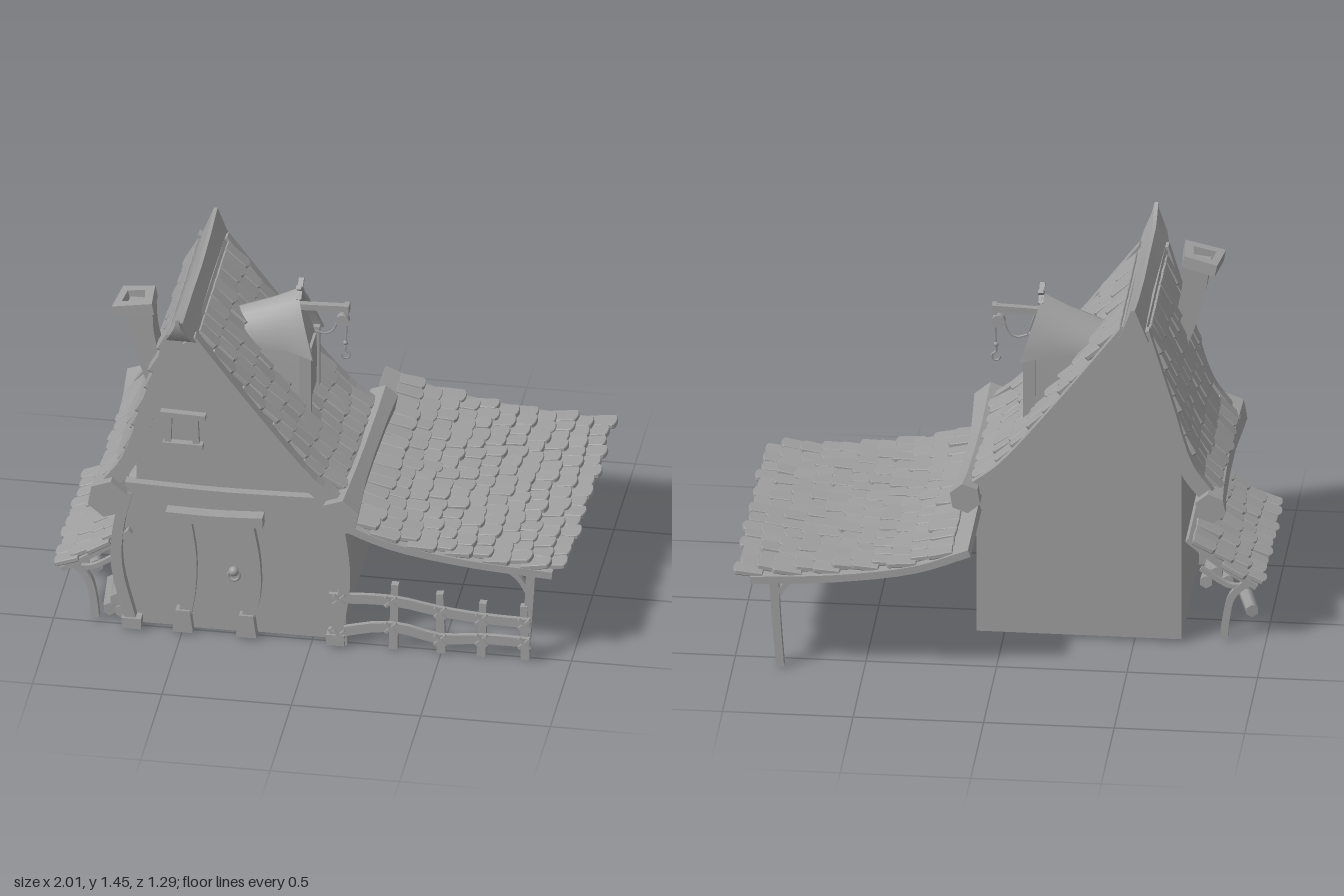
import * as THREE from 'three';
import { mergeGeometries, toCreasedNormals } from 'three/addons/utils/BufferGeometryUtils.js';

const V = (x, y, z) => new THREE.Vector3(x, y, z);
const mat = new THREE.MeshStandardMaterial({ color: 0x9f9f9f });

let seed = 7;
const rnd = () => ((seed = (seed * 16807) % 2147483647) / 2147483647) - 0.5;

const curveOf = pts => new THREE.CatmullRomCurve3(pts.map(p => V(p[0], p[1], 0)));

// Bent plank: a curve in the xy plane with a width that tapers from w0 to w1, spanning z0..z1
function plank(pts, w0, w1, z0, z1) {
  const n = pts.length > 2 ? 12 : 1, c = curveOf(pts), a = [], b = [];
  for (let i = 0; i <= n; i++) {
    const p = c.getPoint(i / n), t = c.getTangent(i / n), h = (w0 + (w1 - w0) * i / n) / 2;
    a.push(new THREE.Vector2(p.x - t.y * h, p.y + t.x * h));
    b.unshift(new THREE.Vector2(p.x + t.y * h, p.y - t.x * h));
  }
  return new THREE.ExtrudeGeometry(new THREE.Shape([...a, ...b]), { depth: z1 - z0, bevelEnabled: false }).translate(0, 0, z0);
}

// Skin over matching cross-sections, closed at both ends, turned outwards
function loft(sections) {
  const tri = [], n = sections[0].length, s = sections[0], e = sections[sections.length - 1];
  const quad = (a, b, c, d) => tri.push([a, b, c], [a, c, d]);
  for (let k = 0; k < sections.length - 1; k++)
    for (let i = 0; i < n; i++) {
      const j = (i + 1) % n, p = sections[k], q = sections[k + 1];
      quad(p[i], p[j], q[j], q[i]);
    }
  for (let i = 0, l = n - 1; i + 1 < l; i++, l--) {
    if (i + 2 === l) tri.push([s[l], s[i + 1], s[i]], [e[i], e[i + 1], e[l]]);
    else {
      quad(s[l], s[l - 1], s[i + 1], s[i]);
      quad(e[i], e[i + 1], e[l - 1], e[l]);
    }
  }
  const volume = tri.reduce((v, [a, b, c]) => v + a.dot(b.clone().cross(c)), 0);
  if (volume < 0) tri.forEach(t => t.reverse());
  return toCreasedNormals(new THREE.BufferGeometry().setFromPoints(tri.flat()), 0.55);
}

// Shingle with a softly rounded end: x across, y down the slope, z away from the roof
function shingle(w, l) {
  const s = new THREE.Shape();
  s.moveTo(-w * 0.46, 0);
  s.lineTo(-w / 2, l * 0.88);
  s.bezierCurveTo(-w * 0.46, l * 1.02, w * 0.46, l * 1.02, w / 2, l * 0.88);
  s.lineTo(w * 0.46, 0);
  return new THREE.ExtrudeGeometry(s, { depth: 0.014, curveSegments: 6, bevelEnabled: true, bevelSize: 0.002, bevelThickness: 0.003, bevelSegments: 1 });
}

// Staggered rows of shingles laid down a roof curve
function shingles(pts, rows, cols, z0, z1, s0, s1, lift) {
  const c = curveOf(pts), L = c.getLength(), out = [], step = (z1 - z0) / cols;
  for (let r = 0; r < rows; r++)
    for (let k = 0; k < cols; k++) {
      const u = (s0 + (s1 - s0) * r / (rows - 1)) / L;
      const p = c.getPointAt(u), d = c.getTangentAt(u);
      const n = V(-d.y, d.x, 0).multiplyScalar(Math.sign(d.x));
      const x = d.clone().cross(n);
      const g = shingle(step * (0.95 + rnd() * 0.16), 0.105 + rnd() * 0.024);
      g.rotateY(rnd() * 0.1).rotateZ(rnd() * 0.14).rotateX(0.18 + rnd() * 0.1);
      g.applyMatrix4(new THREE.Matrix4().makeBasis(x, d, n));
      p.addScaledVector(n, lift);
      out.push(g.translate(p.x, p.y, z0 + step * (k + 0.5 + (r % 2 ? 0.2 : -0.2)) + rnd() * 0.008));
    }
  return mergeGeometries(out);
}

export function createModel() {
  const root = new THREE.Group();
  const add = (name, ...geos) => geos.forEach(g => {
    const m = new THREE.Mesh(g, mat);
    m.name = name;
    root.add(m);
  });
  const box = (x0, x1, y0, y1, z0, z1) =>
    new THREE.BoxGeometry(x1 - x0, y1 - y0, z1 - z0).translate((x0 + x1) / 2, (y0 + y1) / 2, (z0 + z1) / 2);
  const shapeOf = pts => new THREE.Shape(pts.map(p => new THREE.Vector2(...p)));

  // House body with gable
  add('walls', new THREE.ExtrudeGeometry(
    shapeOf([[-0.68, 0.02], [0.105, 0.02], [0.105, 0.6], [0.06, 0.63], [-0.46, 1.3], [-0.54, 1.3], [-0.68, 0.72]]),
    { depth: 0.72, bevelEnabled: false }).translate(0, 0, -0.22));
  // Front wall bulges out to meet the bowed corner posts
  add('frontWall', new THREE.ExtrudeGeometry(
    shapeOf([[-0.69, 0.02], [0.09, 0.02], [0.13, 0.28], [0.12, 0.45], [0.09, 0.6], [-0.7, 0.6], [-0.745, 0.45], [-0.75, 0.28]]),
    { depth: 0.02, bevelEnabled: false }).translate(0, 0, 0.482));

  // Main roof
  const roofR = [[-0.47, 1.31], [-0.2, 0.955], [0.0, 0.715], [0.12, 0.62]];
  const roofL = [[-0.53, 1.32], [-0.62, 1.02], [-0.7, 0.76], [-0.79, 0.63]];
  for (const r of [roofR, roofL]) {
    add('roofDeck', plank(r, 0.035, 0.035, -0.24, 0.54));
    add('vergeBoard', plank(r, 0.06, 0.06, 0.505, 0.55), plank(r, 0.06, 0.06, -0.25, -0.21));
  }
  add('roofShingles', shingles(roofR, 9, 10, -0.2, 0.49, 0.02, 0.78, 0.01), shingles(roofL, 8, 10, -0.2, 0.49, 0.02, 0.66, 0.01));

  // Ridge cap with upswept ends: z, bottom y, top y, half width
  add('ridgeCap', loft([[0.642, 1.41, 1.45, 0.014], [0.61, 1.345, 1.418, 0.045], [0.55, 1.305, 1.385, 0.06], [0.3, 1.31, 1.385, 0.05],
    [0.1, 1.31, 1.378, 0.045], [-0.12, 1.305, 1.395, 0.05], [-0.27, 1.285, 1.42, 0.06]].map(([z, b, t, w]) =>
    [V(-0.5 - w, b, z), V(-0.5 - w * 0.55, (b + t) / 2, z), V(-0.507, t, z), V(-0.493, t, z), V(-0.5 + w * 0.55, (b + t) / 2, z), V(-0.5 + w, b, z)])));

  // Eave logs, thick at the ends
  for (const [x, dx] of [[0.1, 1], [-0.76, -1]])
    add('eaveLog', loft([[0.595, 0.08, 0.605], [0.5, 0.072, 0.602], [0.3, 0.055, 0.6], [0.1, 0.05, 0.6], [-0.15, 0.052, 0.605], [-0.305, 0.062, 0.615]].map(([z, r, y]) =>
      Array.from({ length: 6 }, (_, i) => V(x + dx * (0.02 + (0.5 - z) * 0.025) + r * Math.cos(i * Math.PI / 3 + 0.35), y + r * Math.sin(i * Math.PI / 3 + 0.35), z)))));

  // Front timber frame
  add('cornerPost',
    plank([[0.09, 0.61], [0.12, 0.45], [0.13, 0.28], [0.095, 0.04]], 0.04, 0.045, 0.47, 0.54),
    plank([[-0.71, 0.61], [-0.745, 0.45], [-0.75, 0.28], [-0.695, 0.04]], 0.04, 0.045, 0.47, 0.54));
  add('postFoot', box(0.06, 0.13, 0.015, 0.06, 0.46, 0.55), box(-0.73, -0.655, 0.015, 0.06, 0.46, 0.55));
  add('crossBeam', plank([[-0.72, 0.63], [-0.35, 0.622], [0.05, 0.63]], 0.045, 0.045, 0.49, 0.535));

  // Door
  add('doorJamb',
    plank([[-0.485, 0.51], [-0.465, 0.35], [-0.47, 0.2], [-0.49, 0.08]], 0.04, 0.05, 0.49, 0.535),
    plank([[-0.245, 0.51], [-0.22, 0.35], [-0.22, 0.2], [-0.25, 0.08]], 0.04, 0.05, 0.49, 0.535));
  for (const x of [-0.495, -0.25])
    add('doorFoot', plank([[x, 0.11], [x, 0.015]], 0.055, 0.08, 0.485, 0.545));
  add('doorLintel', plank([[-0.56, 0.527], [-0.37, 0.523], [-0.185, 0.53]], 0.04, 0.045, 0.48, 0.555));
  add('door', box(-0.47, -0.24, 0.02, 0.51, 0.495, 0.508));
  add('doorKnob', new THREE.SphereGeometry(0.02, 10, 8).translate(-0.3, 0.295, 0.53),
    new THREE.TorusGeometry(0.022, 0.006, 6, 14).translate(-0.3, 0.275, 0.525));

  // Gable window frame
  add('windowFrame', plank([[-0.585, 0.962], [-0.41, 0.957]], 0.022, 0.022, 0.495, 0.53), plank([[-0.575, 0.828], [-0.42, 0.828]], 0.022, 0.022, 0.495, 0.53),
    plank([[-0.553, 0.955], [-0.557, 0.83]], 0.025, 0.025, 0.495, 0.522), plank([[-0.453, 0.955], [-0.447, 0.83]], 0.025, 0.025, 0.495, 0.522));

  // Crooked chimney with a hollow cap
  add('chimneyShaft', plank([[-0.685, 1.35], [-0.675, 1.24], [-0.64, 1.1], [-0.6, 0.98]], 0.1, 0.075, 0.305, 0.4));
  const cap = shapeOf([[-0.08, -0.075], [0.08, -0.085], [0.07, 0.06], [-0.06, 0.08]]);
  cap.holes.push(shapeOf([[-0.045, -0.04], [-0.035, 0.04], [0.035, 0.03], [0.045, -0.045]]));
  add('chimneyCap', new THREE.ExtrudeGeometry(cap, { depth: 0.048, bevelEnabled: false }).rotateX(-Math.PI / 2).rotateZ(0.2).translate(-0.7, 1.33, 0.355));

  // Dormer: round-shouldered arch sections running from one foot over the peak to the other
  const us = Array.from({ length: 17 }, (_, i) => Math.sin((i / 8 - 1) * Math.PI / 2));
  const arch = (w, y0, y1, x0, x1, flare = 0) => us.map(u => {
    const a = Math.abs(u), h = Math.pow(Math.max(0, 1 - Math.pow(a, 1.6)), 0.55);
    return V(x0 + (x1 - x0) * h, y0 + (y1 - y0) * h, 0.09 + Math.sign(u) * (w * a + flare * Math.pow(1 - h, 3)));
  });
  const shell = (w, y0, y1, x0, x1, flare) => [...arch(w, y0, y1, x0, x1, flare), ...arch(w - 0.016, y0, y1 - 0.018, x0, x1, flare).reverse()];
  add('dormerRoof', loft([shell(0.098, 1.09, 1.195, -0.3, -0.38, 0), shell(0.104, 1.09, 1.26, -0.15, -0.22, 0.005), shell(0.11, 1.072, 1.31, -0.045, -0.12, 0.025)]));
  const wall = (x0, x1, peak) => [V(x0, 0.79, -0.015), ...arch(0.095, 1.08, peak, x0, x1), V(x0, 0.79, 0.2)];
  add('dormerWall', loft([wall(-0.38, -0.38, 1.16), wall(-0.075, -0.145, 1.27)]));
  add('dormerDoor', new THREE.ExtrudeGeometry(
    shapeOf([[-0.07, 0.86], [0.07, 0.86], [0.085, 0.97], [0.07, 1.075], [-0.07, 1.075], [-0.085, 0.97]]),
    { depth: 0.016, bevelEnabled: false }).rotateY(Math.PI / 2).translate(-0.08, 0, 0.09));
  for (const s of [-1, 1]) {
    add('dormerPost', box(-0.1, -0.055, 0.79, 1.09, 0.09 + s * 0.1 - 0.012, 0.09 + s * 0.1 + 0.012));
    add('dormerFinial', new THREE.BoxGeometry(0.02, 0.09, 0.016).rotateX(s * 0.9).translate(-0.115, 1.305, 0.09));
  }
  add('dormerSill', box(-0.1, -0.045, 0.79, 0.815, -0.02, 0.2));

  // Hoist on the dormer
  add('hoistBeam', plank([[-0.18, 1.23], [0.075, 1.24]], 0.025, 0.025, 0.077, 0.103), box(0.055, 0.075, 1.22, 1.255, 0.07, 0.11));
  add('hoistPulley', new THREE.CylinderGeometry(0.026, 0.026, 0.028, 12).rotateX(Math.PI / 2).translate(0.05, 1.185, 0.09));
  const rope = (...p) => new THREE.TubeGeometry(new THREE.CatmullRomCurve3(p), 14, 0.0045, 5);
  add('hoistRope', rope(V(0.06, 1.23, 0.09), V(0.063, 1.15, 0.09), V(0.06, 1.06, 0.09)),
    rope(V(0.03, 1.18, 0.09), V(0.01, 1.135, 0.09), V(-0.02, 1.12, 0.09), V(-0.06, 1.13, 0.09)));
  add('hoistHook', rope(V(0.06, 1.08, 0.09), V(0.06, 1.055, 0.09), V(0.076, 1.04, 0.09), V(0.07, 1.02, 0.09), V(0.05, 1.02, 0.09), V(0.044, 1.035, 0.09)),
    new THREE.SphereGeometry(0.01, 8, 6).translate(0.06, 1.085, 0.09));

  // Large side canopy
  const canopy = [[0.09, 0.545], [0.3, 0.466], [0.6, 0.416], [0.93, 0.393]];
  add('canopyDeck', plank(canopy, 0.03, 0.03, -0.645, 0.535));
  add('canopyShingles', shingles(canopy, 11, 15, -0.62, 0.52, 0.07, 0.815, 0.008));
  for (const z of [0.5, -0.57]) {
    add('canopyPost', plank([[0.845, 0.39], [0.835, 0.2], [0.82, 0.01]], 0.035, 0.03, z - 0.017, z + 0.017));
    add('canopyBrace', plank([[0.75, 0.395], [0.8, 0.35], [0.835, 0.29]], 0.02, 0.02, z - 0.01, z + 0.01));
  }

  // Fence
  [[0.12, 0.24], [0.315, 0.29], [0.5, 0.265], [0.655, 0.24], [0.825, 0.24]].forEach(([x, h], i) =>
    add('fencePost', plank([[x, 0.005], [x + (i % 2 ? 0.006 : -0.006), h]], 0.035, 0.028, 0.495, 0.525)));
  const rails = [[[0.07, 0.215], [0.31, 0.225], [0.5, 0.195], [0.66, 0.18], [0.845, 0.175]], [[0.07, 0.06], [0.31, 0.11], [0.5, 0.075], [0.66, 0.09], [0.845, 0.09]]];
  for (const r of rails) {
    add('fenceRail', plank(r, 0.04, 0.038, 0.522, 0.54));
    for (const [x, y] of r) // rope lashings
      for (const s of [-1, 1])
        add('fenceLashing', new THREE.BoxGeometry(0.06, 0.011, 0.014).rotateZ(s * 0.75).translate(Math.min(0.825, Math.max(x, 0.11)), y, 0.545));
  }

  // Small awning on the other side
  const awning = [[-0.7, 0.43], [-0.83, 0.325], [-0.965, 0.24]];
  add('awningDeck', plank(awning, 0.022, 0.022, -0.2, 0.53));
  add('awningShingles', shingles(awning, 4, 10, -0.205, 0.53, 0.02, 0.245, 0.006));
  for (const z of [0.48, -0.17]) {
    add('awningPost', plank([[-0.925, 0.25], [-0.87, 0.19], [-0.848, 0.1], [-0.84, 0.02]], 0.026, 0.03, z - 0.015, z + 0.015));
    add('awningBrace', plank([[-0.935, 0.235], [-0.86, 0.235], [-0.75, 0.3]], 0.018, 0.018, z - 0.01, z + 0.01));
  }

  // Firewood under the awning: x, y, z, length, yaw
  [[-0.91, 0.046, 0.08, 0.16, 0.25], [-0.8, 0.046, 0.36, 0.22, 0.1], [-0.735, 0.046, 0.36, 0.24, -0.05], [-0.765, 0.09, 0.35, 0.24, 0.04]]
    .forEach(([x, y, z, l, yaw]) => add('firewood', new THREE.CylinderGeometry(0.028, 0.026, l, 6).rotateX(Math.PI / 2).rotateY(yaw).translate(x, y, z)));

  return root;
}
